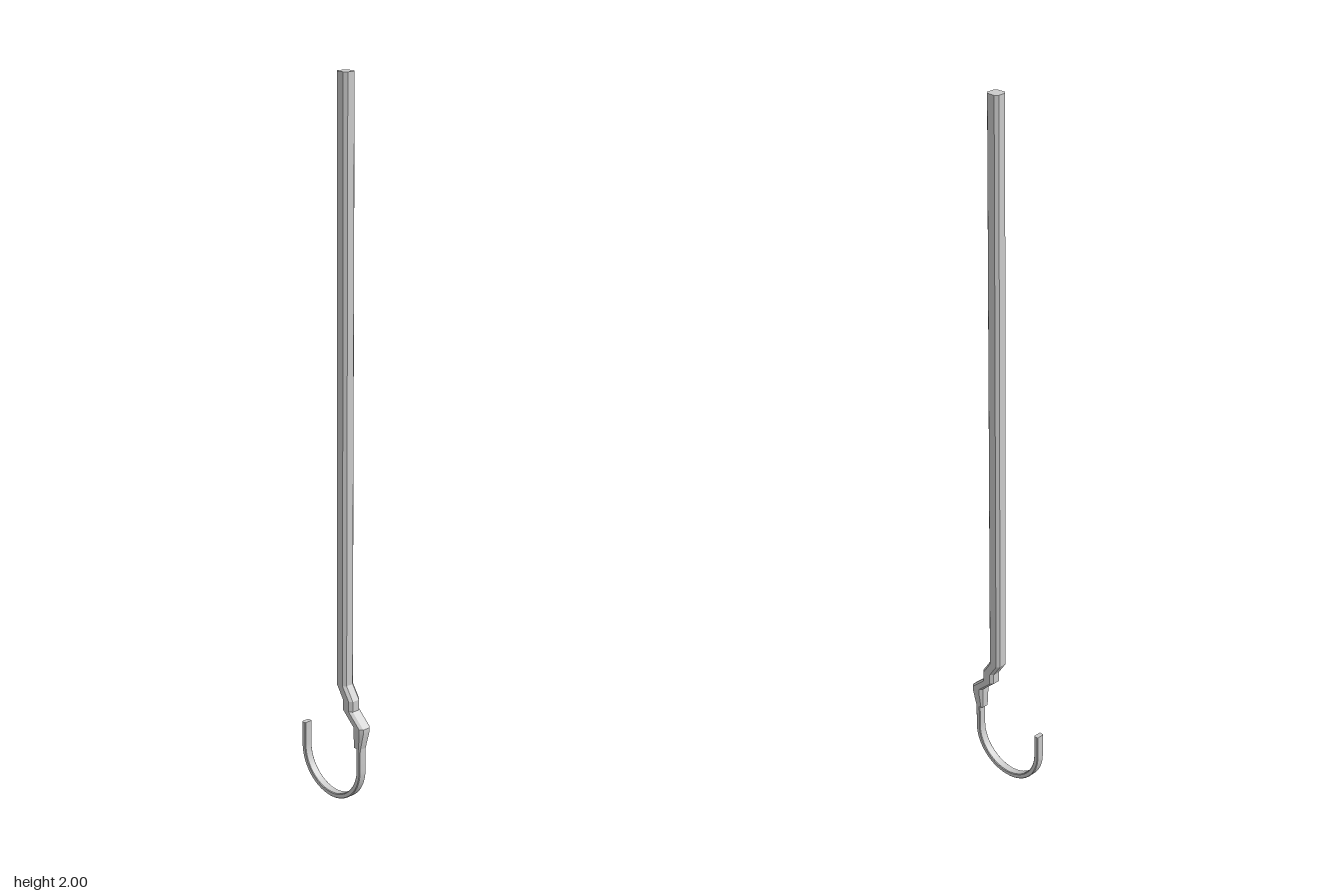
import * as THREE from 'three';
import { toCreasedNormals } from 'three/addons/utils/BufferGeometryUtils.js';

const material = new THREE.MeshStandardMaterial({ color: 0xcccccc });

// Loft of chamfered rectangles. Each ring: centre x, y, half width w (in the xy plane),
// half depth d (along z), chamfer c and angle a of the width axis.
function loft(name, rings) {
  const positions = [];
  const loops = rings.map(({ x, y, w, d, c, a = 0 }) =>
    [[w, -d + c], [w, d - c], [w - c, d], [c - w, d], [-w, d - c], [-w, c - d], [c - w, -d], [w - c, -d]]
      .map(([u, z]) => [x + u * Math.cos(a), y + u * Math.sin(a), z]));
  const tri = (...points) => points.forEach((p) => positions.push(...p));
  const last = rings.length - 1;
  const centre = (i) => [rings[i].x, rings[i].y, 0];
  for (let j = 0; j < 8; j++) {
    const k = (j + 1) % 8;
    for (let i = 0; i < last; i++) {
      const [p, q] = [loops[i], loops[i + 1]];
      tri(p[j], p[k], q[k]);
      tri(p[j], q[k], q[j]);
    }
    tri(centre(0), loops[0][k], loops[0][j]);
    tri(centre(last), loops[last][j], loops[last][k]);
  }
  const geometry = new THREE.BufferGeometry();
  geometry.setAttribute('position', new THREE.Float32BufferAttribute(positions, 3));
  const mesh = new THREE.Mesh(toCreasedNormals(geometry, 0.4), material);
  mesh.name = name;
  return mesh;
}

export function createModel() {
  const group = new THREE.Group();
  group.name = 'hookedRod';

  // Long eight-sided rod, stepping sideways twice and tapering into the hook
  const bar = { w: 0.0195, d: 0.019, c: 0.008 };
  group.add(loft('rod', [
    { ...bar, x: 0.0385, y: 2 },
    { ...bar, x: 0.0385, y: 0.355 },
    { ...bar, x: 0.0635, y: 0.317 },
    { ...bar, x: 0.0635, y: 0.287 },
    { ...bar, x: 0.1055, y: 0.249 },
    { ...bar, x: 0.1055, y: 0.235 },
    { x: 0.1, y: 0.185, w: 0.0125, d: 0.0135, c: 0.004 },
  ]));

  // Thin J-shaped hook: straight shank, half circle, straight tip
  const wire = { w: 0.007, d: 0.012, c: 0.002 };
  const cx = -0.0065, radius = 0.1115, cy = radius + wire.w, steps = 28;
  const rings = [{ ...wire, x: cx + radius, y: 0.2 }];
  for (let i = 0; i <= steps; i++) {
    const a = -Math.PI * i / steps;
    rings.push({ ...wire, x: cx + radius * Math.cos(a), y: cy + radius * Math.sin(a), a });
  }
  rings.push({ ...wire, x: cx - radius, y: 0.186, a: -Math.PI });
  group.add(loft('hook', rings));

  return group;
}
